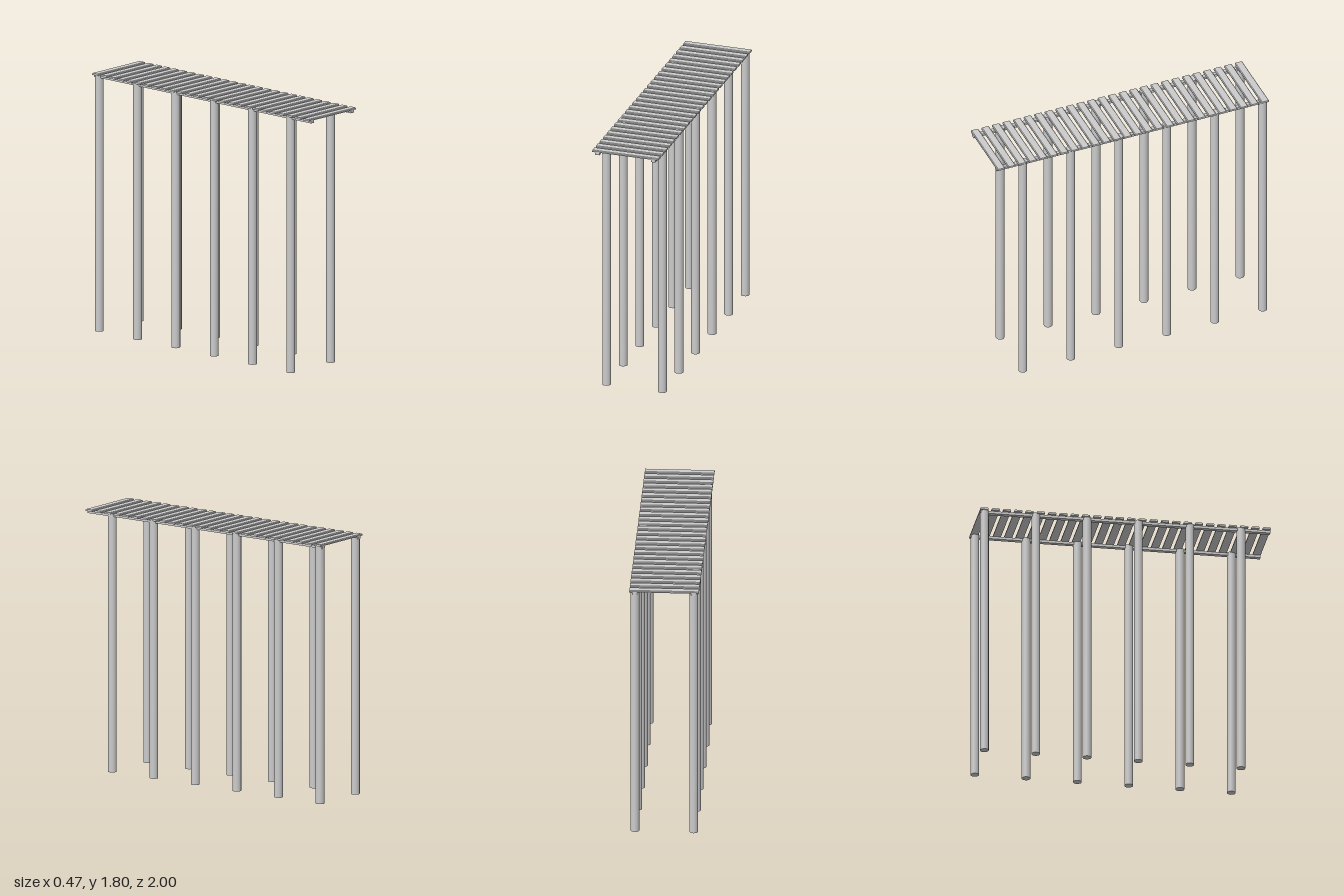
import * as THREE from 'three';

export function createModel() {
  const group = new THREE.Group();
  group.name = 'pier';
  const material = new THREE.MeshStandardMaterial({ color: 0xcccccc });

  const add = (name, geometry, x, y, z) => {
    const mesh = new THREE.Mesh(geometry, material);
    mesh.name = name;
    mesh.position.set(x, y, z);
    group.add(mesh);
  };

  // Deck planks: a thin board profile with chamfered top edges, run along x
  const plankCount = 26, plankDepth = 0.055, plankWidth = 0.474;
  const h = plankDepth / 2, bevel = 0.005, thick = 0.013;
  const profile = new THREE.Shape([
    new THREE.Vector2(-h, 0),
    new THREE.Vector2(h, 0),
    new THREE.Vector2(h, thick - bevel),
    new THREE.Vector2(h - bevel, thick),
    new THREE.Vector2(-h + bevel, thick),
    new THREE.Vector2(-h, thick - bevel),
  ]);
  const plank = new THREE.ExtrudeGeometry(profile, { depth: plankWidth, bevelEnabled: false });
  plank.translate(0, 0, -plankWidth / 2).rotateY(Math.PI / 2);
  for (let i = 0; i < plankCount; i++) {
    const z = THREE.MathUtils.lerp(-1 + h, 1 - h, i / (plankCount - 1));
    add('plank', plank, 0, 1.791, z);
  }

  // Two long beams under the deck, each on a row of six round posts
  const beam = new THREE.BoxGeometry(0.03, 0.018, 2);
  const post = new THREE.CylinderGeometry(0.03, 0.03, 1.797, 16);
  for (const x of [-0.2, 0.2]) {
    add('beam', beam, x, 1.782, 0);
    for (let i = 0; i < 6; i++) {
      add('post', post, x, 1.797 / 2, 0.8 - i * 0.3535);
    }
  }
  return group;
}
